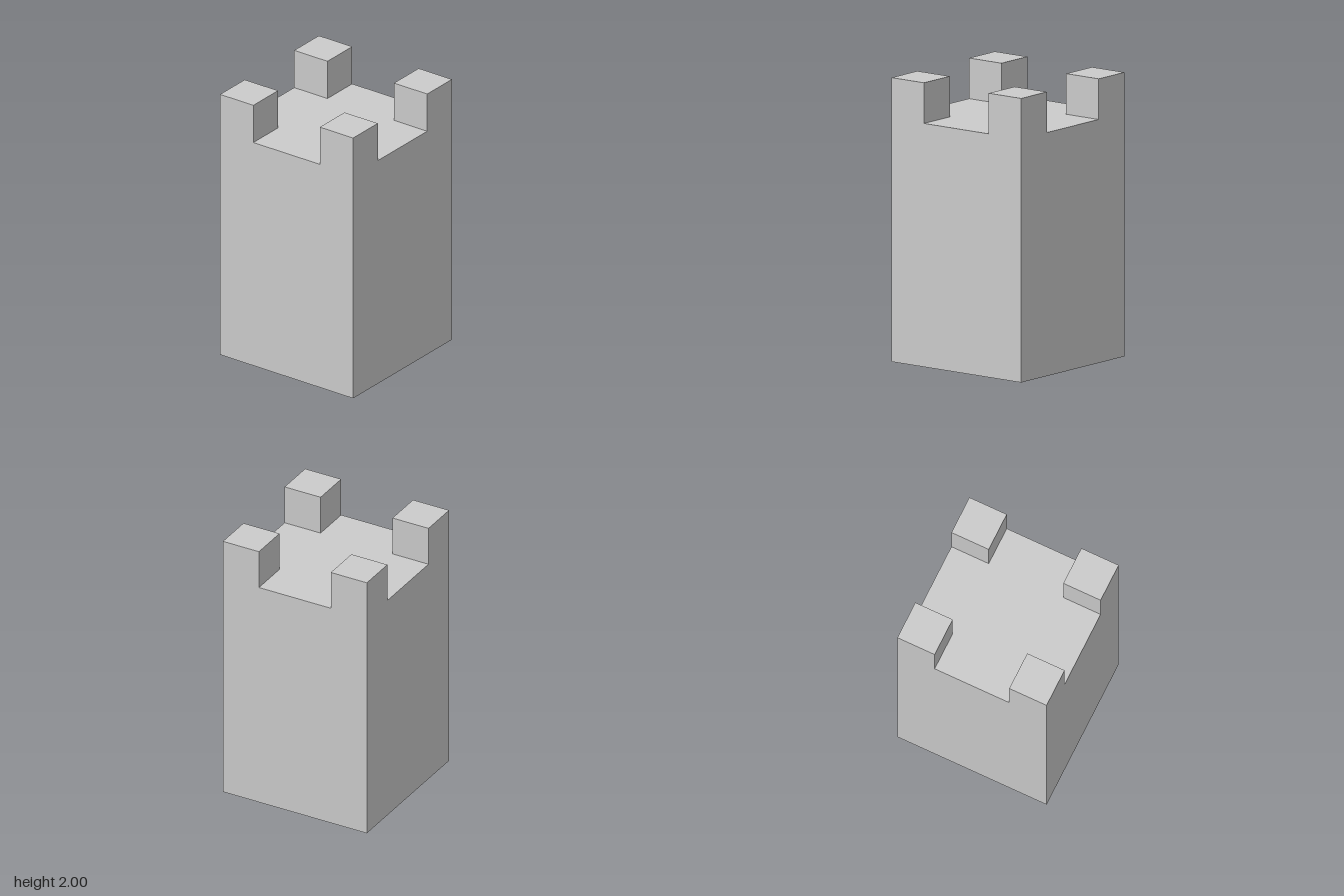
import * as THREE from 'three';

const WIDTH = 1.143;       // square plan of the tower
const BODY_HEIGHT = 1.714;
const MERLON = 0.286;      // corner block edge length

export function createModel() {
  const model = new THREE.Group();
  model.name = 'tower';
  const material = new THREE.MeshStandardMaterial({ color: 0xcccccc, flatShading: true });

  // Box standing on the given base height
  const addBlock = (name, width, height, x, base, z) => {
    const mesh = new THREE.Mesh(new THREE.BoxGeometry(width, height, width), material);
    mesh.name = name;
    mesh.position.set(x, base + height / 2, z);
    model.add(mesh);
  };

  // Solid tower body
  addBlock('towerBody', WIDTH, BODY_HEIGHT, 0, 0, 0);

  // One merlon flush with each corner
  const offset = (WIDTH - MERLON) / 2;
  for (const [sx, side] of [[1, 'Left'], [-1, 'Right']]) {
    for (const [sz, end] of [[1, 'front'], [-1, 'back']]) {
      addBlock(`${end}${side}Merlon`, MERLON, 2 - BODY_HEIGHT, sx * offset, BODY_HEIGHT, sz * offset);
    }
  }
  return model;
}
